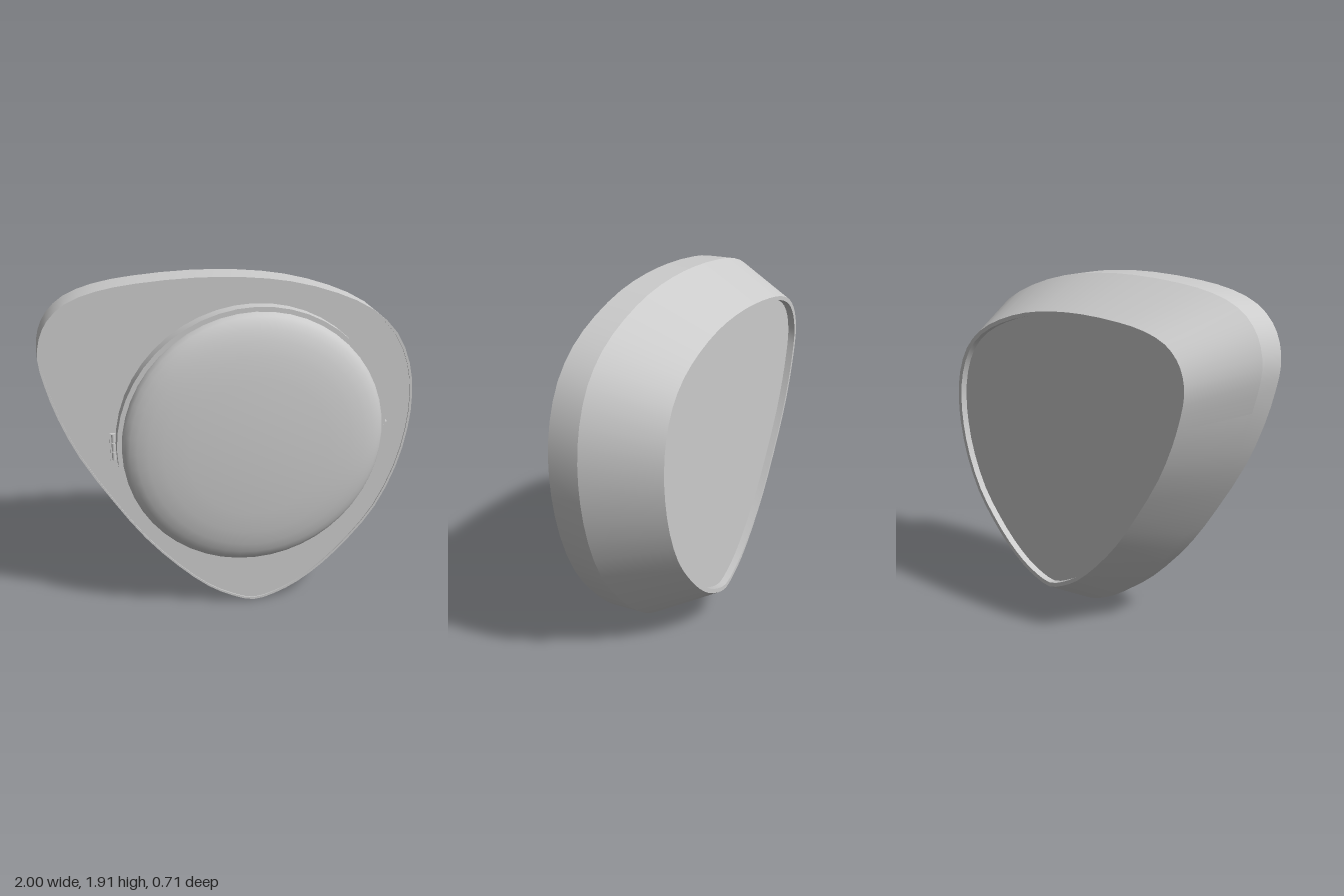
import * as THREE from 'three';
import { toCreasedNormals } from 'three/addons/utils/BufferGeometryUtils.js';

const CY = 1.05; // height about which the outline tapers
const DISC = { x: 0.1, y: 1.03 };

// Rounded, lopsided triangle outline, counter-clockwise from the front
const OUTLINE = [
  [-1, 1.53], [-0.985, 1.64], [-0.94, 1.73], [-0.85, 1.81], [-0.7, 1.865], [-0.5, 1.895],
  [-0.2, 1.91], [0.05, 1.9], [0.3, 1.865], [0.55, 1.79], [0.75, 1.69], [0.89, 1.555],
  [0.97, 1.38], [0.997, 1.2], [0.985, 1], [0.93, 0.77], [0.82, 0.53], [0.68, 0.35],
  [0.53, 0.2], [0.38, 0.09], [0.24, 0.025], [0.12, 0], [0, 0.04], [-0.14, 0.12],
  [-0.31, 0.27], [-0.49, 0.47], [-0.65, 0.7], [-0.82, 0.98], [-0.92, 1.21], [-0.977, 1.4],
].reverse().map(([x, y]) => new THREE.Vector3(x, y, 0));

function outline(scale) {
  const pts = new THREE.CatmullRomCurve3(OUTLINE, true).getPoints(60).slice(0, -1);
  return pts.map(p => new THREE.Vector2(p.x * scale, CY + (p.y - CY) * scale));
}

// Skin through scaled copies of the outline, each given as [scale, z]
function loft(sections) {
  const pos = [], index = [];
  sections.forEach(([s, z]) => outline(s).forEach(p => pos.push(p.x, p.y, z)));
  const n = pos.length / 3 / sections.length;
  for (let k = 0; k < sections.length - 1; k++) {
    for (let i = 0; i < n; i++) {
      const j = (i + 1) % n, a = k * n + i, b = k * n + j;
      index.push(a, a + n, b, b, a + n, b + n);
    }
  }
  const g = new THREE.BufferGeometry();
  g.setAttribute('position', new THREE.Float32BufferAttribute(pos, 3));
  g.setIndex(index);
  return toCreasedNormals(g, 0.42);
}

// Turned part whose axis points to the front; profile is [radius, z]
function turned(profile) {
  const g = new THREE.LatheGeometry(profile.map(([r, z]) => new THREE.Vector2(r, z)), 48);
  return toCreasedNormals(g.rotateX(Math.PI / 2), 0.6);
}

export function createModel() {
  const model = new THREE.Group();
  const grey = new THREE.MeshStandardMaterial({ color: 0xcccccc, side: THREE.DoubleSide });
  const add = (name, geometry, x = 0, y = 0, z = 0, parent = model) => {
    const mesh = new THREE.Mesh(geometry, grey);
    mesh.name = name;
    mesh.position.set(x, y, z);
    parent.add(mesh);
    return mesh;
  };

  // Body wall: straight front band, tapered back, thin rims at both ends
  add('bodyShell', loft([
    [0.987, 0.155], [0.987, 0.163], [1, 0.163], [1, 0], [0.81, -0.355], [0.787, -0.355], [0.787, -0.315],
  ]));
  add('frontPanel', new THREE.ShapeGeometry(new THREE.Shape(outline(0.988))), 0, 0, 0.157);
  add('backPanel', new THREE.ShapeGeometry(new THREE.Shape(outline(0.788))), 0, 0, -0.317);

  // Round cover: flat bezel with a shallow dome
  add('bezelRing', turned([[0.73, 0.155], [0.73, 0.225], [0.69, 0.225]]), DISC.x, DISC.y);
  add('domeCover', turned([
    [0.705, 0.22], [0.705, 0.24], [0.692, 0.262], [0.67, 0.28], [0.635, 0.298], [0.58, 0.315],
    [0.5, 0.33], [0.38, 0.342], [0.2, 0.351], [0, 0.355],
  ]), DISC.x, DISC.y);

  // Hinge on one side of the cover: leaf with three knuckles
  const hinge = new THREE.Group();
  hinge.name = 'hinge';
  add('hingeLeaf', new THREE.BoxGeometry(0.03, 0.15, 0.012), -0.645, DISC.y, 0.163, hinge);
  for (const dy of [-0.05, 0, 0.05]) {
    add('hingeKnuckle', new THREE.CylinderGeometry(0.01, 0.01, 0.044, 12), -0.642, DISC.y + dy, 0.168, hinge);
  }
  model.add(hinge);

  // Small clasp opposite the hinge
  const clasp = new THREE.Group();
  clasp.name = 'clasp';
  add('claspPlate', new THREE.BoxGeometry(0.03, 0.06, 0.045), 0.822, DISC.y, 0.203, clasp);
  add('claspTab', new THREE.BoxGeometry(0.02, 0.09, 0.035), 0.83, DISC.y, 0.205, clasp);
  model.add(clasp);

  return model;
}
